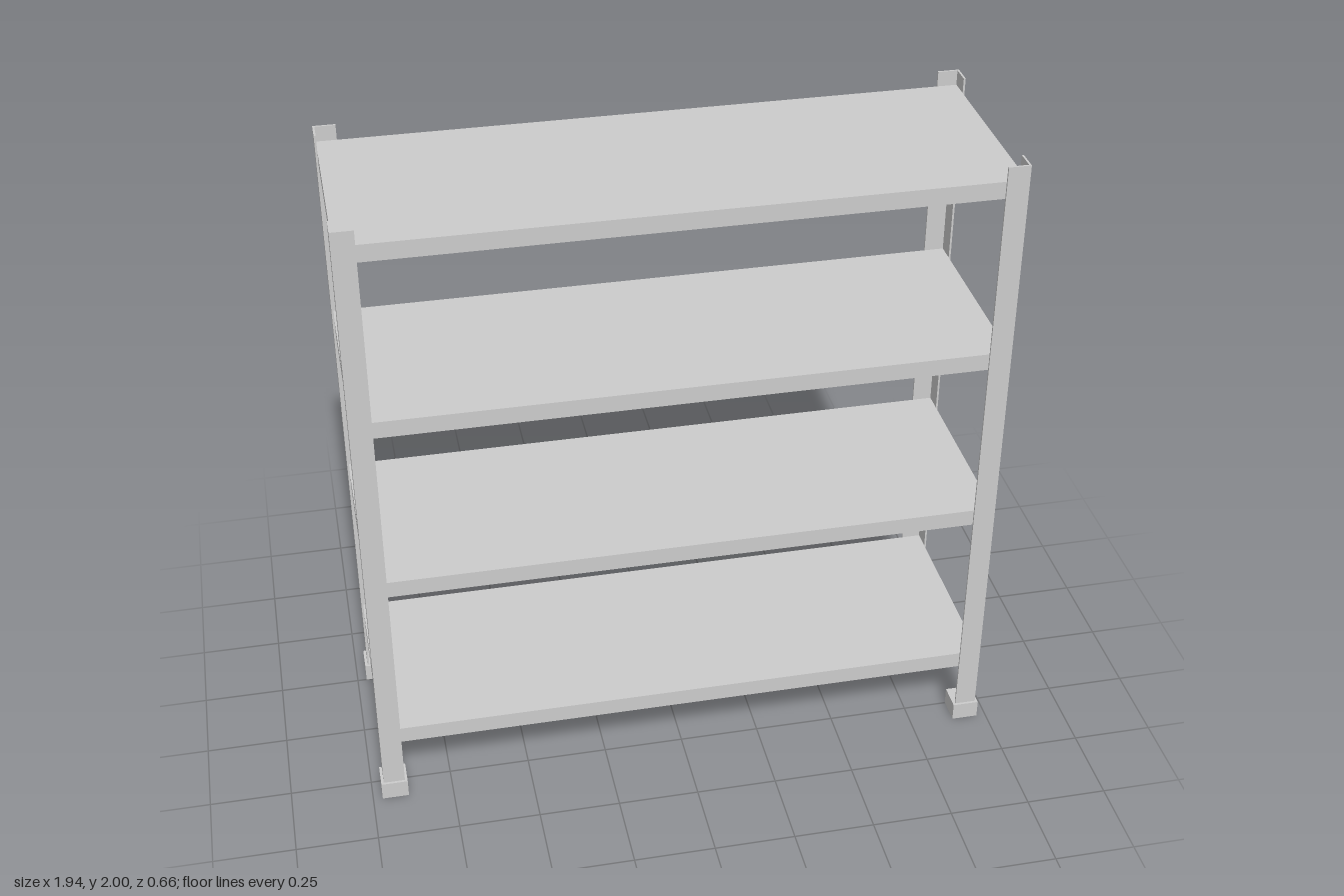
import * as THREE from 'three';

const material = new THREE.MeshStandardMaterial({ color: 0xcccccc, flatShading: true });

const HALF_X = 0.963, HALF_Z = 0.323; // outer faces of the posts
const POST_W = 0.066, POST_T = 0.006; // angle-iron flange width and thickness
const SHELF_H = 0.053;
const FOOT_W = 0.082, FOOT_H = 0.058, FOOT_LIP = 0.008;

function addBox(parent, name, w, h, d, x, y, z) {
  const mesh = new THREE.Mesh(new THREE.BoxGeometry(w, h, d), material);
  mesh.name = name;
  mesh.position.set(x, y, z);
  parent.add(mesh);
}

// L-shaped section with its outer corner pointing towards (sx, sz)
function anglePost(sx, sz) {
  const w = POST_W, t = POST_T;
  const points = [[0, 0], [w, 0], [w, t], [t, t], [t, w], [0, w]]
    .map(([a, b]) => new THREE.Vector2(sx * (HALF_X - a), -sz * (HALF_Z - b)));
  const geometry = new THREE.ExtrudeGeometry(new THREE.Shape(points), { depth: 2 - 0.01, bevelEnabled: false });
  geometry.rotateX(-Math.PI / 2).translate(0, 0.01, 0);
  return new THREE.Mesh(geometry, material);
}

export function createModel() {
  const model = new THREE.Group();
  model.name = 'shelvingUnit';

  // Four shelves held between the posts
  [0.238, 0.804, 1.366, 1.927].forEach((y, i) => {
    addBox(model, `shelf${i + 1}`, 2 * (HALF_X - POST_T), SHELF_H, 2 * (HALF_Z - POST_T), 0, y, 0);
  });

  // Corner posts, each standing in a square foot
  for (const sx of [-1, 1]) {
    for (const sz of [-1, 1]) {
      const corner = (sz > 0 ? 'front' : 'back') + (sx > 0 ? 'Left' : 'Right');
      const post = anglePost(sx, sz);
      post.name = `${corner}Post`;
      model.add(post);
      addBox(model, `${corner}Foot`, FOOT_W, FOOT_H, FOOT_W,
        sx * (HALF_X + FOOT_LIP - FOOT_W / 2), FOOT_H / 2, sz * (HALF_Z + FOOT_LIP - FOOT_W / 2));
    }
  }
  return model;
}
